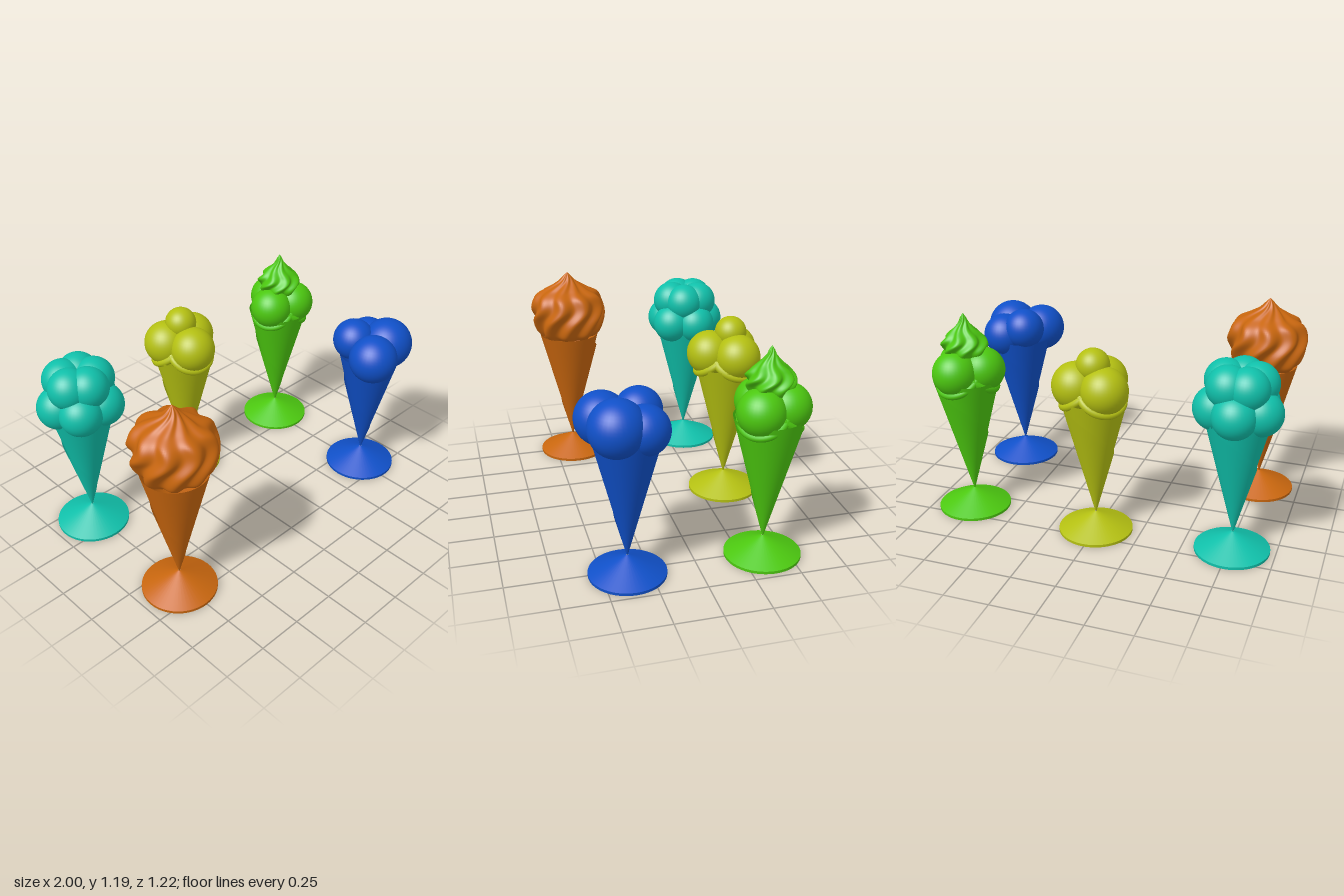
import * as THREE from 'three';
import { mergeVertices } from 'three/addons/utils/BufferGeometryUtils.js';

const RIM = 0.8, TIP = 0.11, RIM_R = 0.176;
const rad = THREE.MathUtils.degToRad;

// Smooth surface from a rule: (u, v) in 0..1 -> [angle, radius, height] about the y axis
function surface(nu, nv, rule) {
  const geo = new THREE.PlaneGeometry(1, 1, nu, nv);
  const p = geo.attributes.position;
  for (let i = 0; i < p.count; i++) {
    const [a, r, y] = rule(p.getX(i) + 0.5, p.getY(i) + 0.5);
    p.setXYZ(i, r * Math.sin(a), y, r * Math.cos(a));
  }
  geo.deleteAttribute('uv');
  geo.deleteAttribute('normal');
  const merged = mergeVertices(geo, 1e-5);
  merged.computeVertexNormals();
  return merged;
}

function add(group, name, geo, mat, x = 0, y = 0, z = 0) {
  const mesh = new THREE.Mesh(geo, mat);
  mesh.name = name;
  mesh.position.set(x, y, z);
  group.add(mesh);
  return mesh;
}

const coneRadius = y => RIM_R * (y - TIP) / (RIM - TIP) + 0.003;

// Hollow foot and rolled wafer cone with a diagonal overlapping flap
function addCone(g, mat) {
  const rim = [[0.205, 0], [0.205, 0.015]].map(p => new THREE.Vector2(...p));
  add(g, 'footRim', new THREE.LatheGeometry(rim, 48), mat);
  const top = [[0.205, 0.015], [0.006, 0.112]].map(p => new THREE.Vector2(...p));
  add(g, 'foot', new THREE.LatheGeometry(top, 48), mat);

  add(g, 'wafer', surface(48, 8, (u, v) => {
    const y = TIP + (RIM - TIP) * v;
    return [u * Math.PI * 2, coneRadius(y), y];
  }), mat);

  add(g, 'waferFlap', surface(56, 10, (u, v) => {
    const deg = 55 + u * 390;
    const limit = Math.max(TIP, Math.min(RIM, RIM - (deg - 124) * 0.0021));
    const y = TIP + (limit - TIP) * v;
    const lift = 1 + 0.07 * Math.min(1, (deg - 55) / 100);
    return [rad(deg), coneRadius(y) * lift, y];
  }), mat);
}

// Piped cream: lobed profile whose ridges twist and waver upwards
function addSwirl(g, mat, profile, lobes, depth, twist, waves) {
  const curve = new THREE.SplineCurve(profile.map(p => new THREE.Vector2(...p)));
  add(g, 'creamSwirl', surface(lobes * 14, 56, (u, v) => {
    const p = curve.getPoint(v);
    const a = u * Math.PI * 2;
    const phase = lobes * (a - twist * v) + 1.5 * Math.sin(v * Math.PI * 2 * waves);
    const r = Math.max(0, p.x) * (1 - depth + depth * Math.cos(phase));
    return [a, r, p.y];
  }), mat);
}

const ball = r => new THREE.SphereGeometry(r, 36, 24);

// Ring of equal scoops
function addRing(g, mat, n, startDeg, ringR, y, r, skirt) {
  for (let i = 0; i < n; i++) {
    const a = rad(startDeg + i * 360 / n);
    const out = new THREE.Vector3(Math.sin(a), 0, Math.cos(a));
    add(g, 'scoop', ball(r), mat, out.x * ringR, y, out.z * ringR);
    if (!skirt) continue;
    // Rolled lip left by the scoop, tipped down towards the outside
    const axis = out.clone().multiplyScalar(0.6).add(new THREE.Vector3(0, 0.8, 0));
    const lip = add(g, 'scoopLip', new THREE.TorusGeometry(r * 0.95, 0.022, 12, 48), mat,
      out.x * ringR, y, out.z * ringR);
    lip.position.addScaledVector(axis, -0.045);
    lip.quaternion.setFromUnitVectors(new THREE.Vector3(0, 0, 1), axis);
  }
}

export function createModel() {
  const model = new THREE.Group();
  model.name = 'iceCreams';

  function start(name, color, x, z) {
    const g = new THREE.Group();
    g.name = name;
    g.position.set(x, 0, z);
    model.add(g);
    const mat = new THREE.MeshStandardMaterial({ color, side: THREE.DoubleSide });
    addCone(g, mat);
    return [g, mat];
  }

  // Orange: one large piped swirl
  addSwirl(...start('orangeSwirlCone', 0xc8660e, -0.76, 0.385), [
    [0.165, 0.79], [0.2, 0.83], [0.228, 0.92], [0.224, 0.99], [0.195, 1.05],
    [0.125, 1.09], [0.06, 1.13], [0.025, 1.165], [0, 1.19],
  ], 9, 0.07, 1.0, 2);

  // Teal: two staggered rings of small scoops
  const teal = start('tealScoopCone', 0x10c0aa, -0.765, -0.368);
  addRing(...teal, 5, 180, 0.122, 0.83, 0.118);
  addRing(...teal, 5, 0, 0.085, 0.962, 0.113);

  // Yellow: three lipped scoops with a small one on top
  const yellow = start('yellowScoopCone', 0xb4c012, 0.002, -0.4);
  addRing(...yellow, 3, -10, 0.1, 0.865, 0.128, true);
  add(yellow[0], 'topScoop', ball(0.09), yellow[1], 0, 0.985, -0.02);

  // Green: three lipped scoops with a small swirl on top
  const green = start('greenScoopCone', 0x4cc810, 0.768, -0.368);
  addRing(...green, 3, 45, 0.09, 0.85, 0.125, true);
  addSwirl(...green, [
    [0.09, 0.91], [0.125, 0.965], [0.13, 1.01], [0.1, 1.05],
    [0.06, 1.085], [0.03, 1.12], [0.014, 1.15], [0, 1.172],
  ], 7, 0.1, 1.0, 2);

  // Blue: four uneven scoops
  const blue = start('blueScoopCone', 0x1050c8, 0.775, 0.367);
  [
    [-0.1, 0.84, 0.098, 0.138],
    [0.075, 0.855, 0.055, 0.147],
    [-0.06, 0.88, -0.08, 0.12],
    [0.07, 0.83, -0.08, 0.128],
  ].forEach(([x, y, z, r]) => add(blue[0], 'scoop', ball(r), blue[1], x, y, z));

  return model;
}
